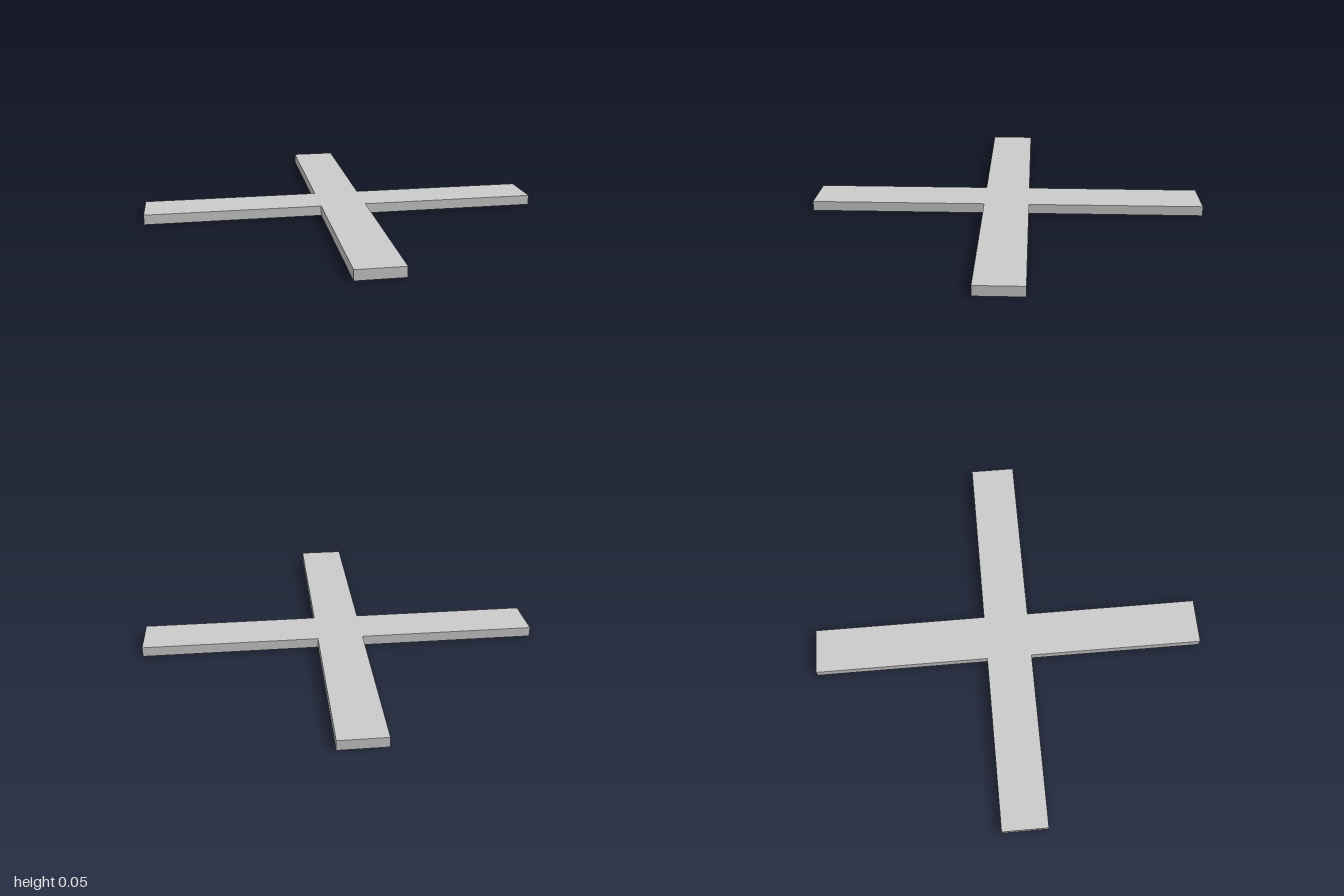
import * as THREE from 'three';

const REACH = 1;        // centre to the end of each arm
const HALF_WIDTH = 0.115;
const THICKNESS = 0.05;

export function createModel() {
  const group = new THREE.Group();
  group.name = 'flatCross';

  // Plus-shaped outline: three corners per arm, repeated every quarter turn
  const points = [];
  for (let i = 0; i < 4; i++) {
    const corners = [[REACH, -HALF_WIDTH], [REACH, HALF_WIDTH], [HALF_WIDTH, HALF_WIDTH]];
    for (const [x, y] of corners) {
      points.push(new THREE.Vector2(x, y).rotateAround(new THREE.Vector2(), i * Math.PI / 2));
    }
  }

  // Extruded plate, laid flat on the ground
  const geometry = new THREE.ExtrudeGeometry(new THREE.Shape(points), {
    depth: THICKNESS,
    bevelEnabled: false,
  });
  geometry.rotateX(-Math.PI / 2);

  const plate = new THREE.Mesh(geometry, new THREE.MeshStandardMaterial({ color: 0xcccccc }));
  plate.name = 'crossPlate';
  group.add(plate);
  return group;
}
